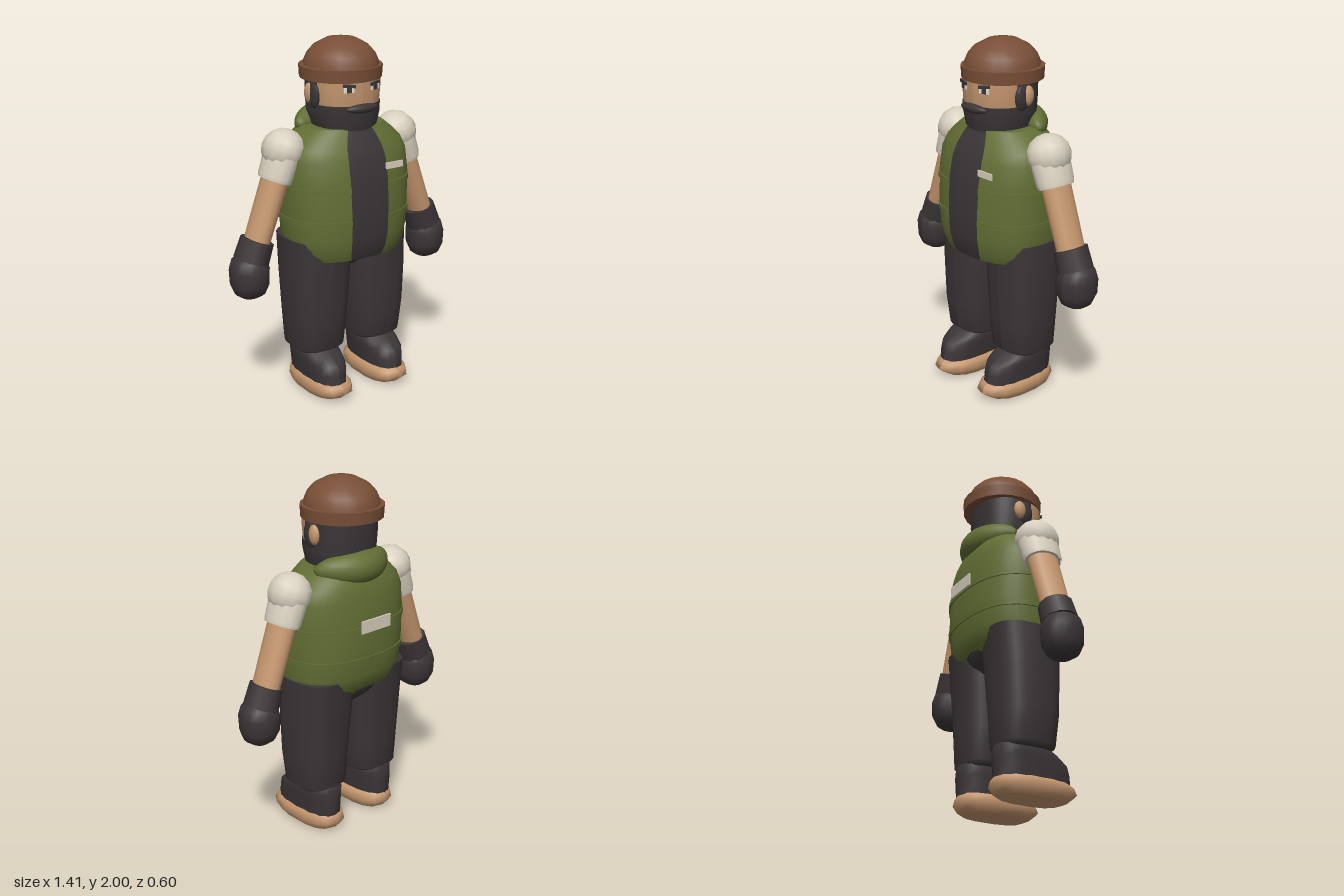
import * as THREE from 'three';

const mat = (name, color, side = THREE.FrontSide) => {
  const m = new THREE.MeshStandardMaterial({ color, side });
  m.name = name;
  return m;
};

// Loft of superellipse rings, bottom to top: [y, halfWidth, zFront, zBack, centreX]
function loft(rings, { n = 24, p = 2.3, from = 0, to = Math.PI * 2, capped = true } = {}) {
  const pos = [], idx = [];
  const curve = (v) => Math.sign(v) * Math.abs(v) ** (2 / p);
  const addRing = ([y, hx, zf, zb, cx = 0]) => {
    const start = pos.length / 3;
    for (let j = 0; j <= n; j++) {
      const t = from + (to - from) * j / n;
      pos.push(cx + hx * curve(Math.sin(t)), y, (zf + zb) / 2 + (zf - zb) / 2 * curve(Math.cos(t)));
    }
    return start;
  };
  const starts = rings.map(addRing);
  for (let i = 0; i + 1 < starts.length; i++) {
    for (let j = 0; j < n; j++) {
      const a = starts[i] + j, b = starts[i + 1] + j;
      idx.push(a, a + 1, b + 1, a, b + 1, b);
    }
  }
  if (capped) {
    [rings[0], rings[rings.length - 1]].forEach((r, top) => {
      const s = addRing(r), c = pos.length / 3;
      pos.push(r[4] || 0, r[0], (r[2] + r[3]) / 2);
      for (let j = 0; j < n; j++) top ? idx.push(c, s + j, s + j + 1) : idx.push(c, s + j + 1, s + j);
    });
  }
  const g = new THREE.BufferGeometry();
  g.setAttribute('position', new THREE.Float32BufferAttribute(pos, 3));
  g.setIndex(idx);
  g.computeVertexNormals();
  return g;
}

// Ellipsoid whose ends curve along z
function bentBall(rx, ry, rz, bend) {
  const g = new THREE.SphereGeometry(1, 24, 14).scale(rx, ry, rz);
  const p = g.attributes.position;
  for (let i = 0; i < p.count; i++) p.setZ(i, p.getZ(i) + bend * p.getX(i) ** 2);
  g.computeVertexNormals();
  return g;
}

export function createModel() {
  const model = new THREE.Group();
  model.name = 'workman';
  const green = mat('vest green', 0x626e34);
  const dark = mat('charcoal', 0x3b3536, THREE.DoubleSide);
  const skin = mat('skin tan', 0xc4966e);
  const cream = mat('cream cloth', 0xd8d0bf);
  const brown = mat('hat brown', 0x794f37);
  const white = mat('eye white', 0xe8e2d8);

  const add = (parent, name, geometry, material, x = 0, y = 0, z = 0) => {
    const m = new THREE.Mesh(geometry, material);
    m.name = name;
    m.position.set(x, y, z);
    parent.add(m);
    return m;
  };

  // Vest with dark front panel
  const vest = [
    [0.81, 0.31, 0.235, -0.19], [0.86, 0.345, 0.255, -0.235], [0.94, 0.362, 0.272, -0.265],
    [1.08, 0.37, 0.275, -0.275], [1.25, 0.375, 0.265, -0.272], [1.37, 0.37, 0.24, -0.257],
    [1.43, 0.345, 0.215, -0.243], [1.48, 0.295, 0.19, -0.225], [1.53, 0.23, 0.165, -0.19],
  ];
  const a = 0.26, around = { n: 36, p: 2.4, from: a, to: Math.PI * 2 - a };
  add(model, 'vest', loft(vest, around), green);
  add(model, 'vestFrontPanel', loft(vest, { n: 6, p: 2.4, from: -a, to: a }), dark);
  add(model, 'vestUpperBand', loft([[1.2, 0.38, 0.275, -0.28], [1.23, 0.381, 0.273, -0.279]], around), green);
  add(model, 'vestLowerBand', loft([[1.02, 0.374, 0.28, -0.277], [1.05, 0.375, 0.281, -0.28]], around), green);
  add(model, 'hood', bentBall(0.25, 0.093, 0.1, 1.4), green, 0, 1.53, -0.17);
  add(model, 'chestPatch', new THREE.BoxGeometry(0.11, 0.035, 0.009), cream, 0.167, 1.318, 0.25);
  add(model, 'backPatch', new THREE.BoxGeometry(0.21, 0.07, 0.009), cream, 0, 1.235, -0.293);

  // Head, beard and hair
  const head = new THREE.Group();
  head.name = 'head';
  model.add(head);
  add(head, 'face', loft([
    [1.55, 0.175, 0.17, -0.17], [1.65, 0.19, 0.185, -0.185], [1.74, 0.198, 0.19, -0.19], [1.82, 0.198, 0.19, -0.19],
  ]), skin);
  add(head, 'beard', loft([
    [1.48, 0.165, 0.165, -0.16], [1.53, 0.175, 0.178, -0.17], [1.6, 0.193, 0.188, -0.187], [1.655, 0.195, 0.191, -0.193],
  ]), dark);
  add(head, 'hair', loft([
    [1.6, 0.195, 0.188, -0.19], [1.7, 0.202, 0.194, -0.196], [1.81, 0.203, 0.195, -0.196],
  ], { from: 1.35, to: Math.PI * 2 - 1.35, capped: false }), dark);
  add(head, 'moustache', bentBall(0.1, 0.025, 0.028, -1.2), dark, 0, 1.64, 0.193);

  // Hat
  const domeProfile = [[0.205, 1.83], [0.2, 1.87], [0.183, 1.91], [0.148, 1.95], [0.08, 1.987], [0, 2]]
    .map(([x, y]) => new THREE.Vector2(x, y));
  add(head, 'hatDome', new THREE.LatheGeometry(domeProfile, 20), brown, 0, 0, -0.02).scale.z = 1.05;
  add(head, 'hatBrim', new THREE.CylinderGeometry(0.229, 0.225, 0.068, 20), brown, 0, 1.814, -0.025);

  const sleeveProfile = [[0.108, -0.2], [0.114, -0.18], [0.12, -0.06], [0.11, 0.02]].map(([x, y]) => new THREE.Vector2(x, y));

  for (const s of [1, -1]) {
    const side = s > 0 ? 'left' : 'right';

    // Eye, brow and ear
    const eye = new THREE.Group();
    eye.name = side + 'Eye';
    eye.position.set(s * 0.082, 1.745, 0.179);
    eye.rotation.y = s * 0.25;
    head.add(eye);
    add(eye, 'eyeWhite', new THREE.BoxGeometry(0.06, 0.028, 0.008), white);
    add(eye, 'pupil', new THREE.BoxGeometry(0.028, 0.028, 0.008), dark, 0, 0, 0.003);
    add(eye, 'brow', new THREE.BoxGeometry(0.07, 0.016, 0.009), dark, 0, 0.022, 0.004).rotation.z = s * 0.12;
    add(head, side + 'Ear', new THREE.SphereGeometry(1, 12, 10).scale(0.025, 0.056, 0.037), skin, s * 0.2, 1.71, -0.025);
    add(head, side + 'Sideburn', new THREE.SphereGeometry(1, 12, 10).scale(0.022, 0.075, 0.05), dark, s * 0.193, 1.705, 0.012);

    // Arm hangs outward from the shoulder
    const arm = new THREE.Group();
    arm.name = side + 'Arm';
    arm.position.set(s * 0.36, 1.45, -0.02);
    arm.rotation.z = s * 0.35;
    model.add(arm);
    add(arm, 'shoulderCap', new THREE.SphereGeometry(1, 12, 8).scale(0.118, 0.118, 0.127), cream, 0, -0.03);
    add(arm, 'sleeve', new THREE.LatheGeometry(sleeveProfile, 14).scale(0.78, 1, 1), cream);
    add(arm, 'sleeveHem', new THREE.CircleGeometry(0.106, 14).rotateX(Math.PI / 2).scale(0.78, 1, 1), cream, 0, -0.198);
    add(arm, 'forearm', new THREE.CylinderGeometry(0.092, 0.086, 0.5, 16).scale(0.76, 1, 1), skin, 0, -0.35);
    add(arm, 'gloveCuff', new THREE.CylinderGeometry(0.097, 0.103, 0.12, 12).scale(0.95, 1, 1), dark, 0, -0.595);
    add(model, side + 'Hand', loft([
      [0.633, 0.05, 0.03, -0.07], [0.655, 0.083, 0.065, -0.1], [0.71, 0.104, 0.09, -0.13],
      [0.79, 0.108, 0.093, -0.133], [0.845, 0.095, 0.075, -0.115], [0.875, 0.05, 0.03, -0.07],
    ], { n: 16, p: 2.2 }), dark, s * 0.597);

    // Trouser leg, boot and sole
    add(model, side + 'TrouserLeg', loft([
      [0.25, 0.125, 0.12, -0.145, s * 0.192], [0.275, 0.152, 0.15, -0.175, s * 0.192], [0.45, 0.166, 0.17, -0.182, s * 0.193],
      [0.7, 0.182, 0.177, -0.2, s * 0.188], [0.92, 0.184, 0.18, -0.225, s * 0.185],
    ], { n: 20, p: 2.7 }), dark);
    add(model, side + 'Boot', loft([
      [0.09, 0.1, 0.262, -0.18], [0.15, 0.106, 0.255, -0.183], [0.2, 0.11, 0.24, -0.185],
      [0.235, 0.115, 0.185, -0.18], [0.275, 0.108, 0.11, -0.17], [0.3, 0.08, 0.08, -0.14],
    ], { n: 16, p: 2.5 }), dark, s * 0.195);
    add(model, side + 'Sole', loft([
      [0, 0.095, 0.22, -0.15], [0.015, 0.112, 0.255, -0.175], [0.05, 0.125, 0.3, -0.2], [0.085, 0.122, 0.283, -0.19], [0.1, 0.105, 0.26, -0.175],
    ], { n: 14, p: 2.5 }), skin, s * 0.19);
  }

  // Seat of the trousers
  add(model, 'trouserSeat', loft([
    [0.735, 0.03, 0.1, -0.12], [0.79, 0.12, 0.165, -0.19], [0.85, 0.25, 0.19, -0.225], [0.92, 0.34, 0.19, -0.235],
  ], { p: 2.4 }), dark);

  return model;
}
